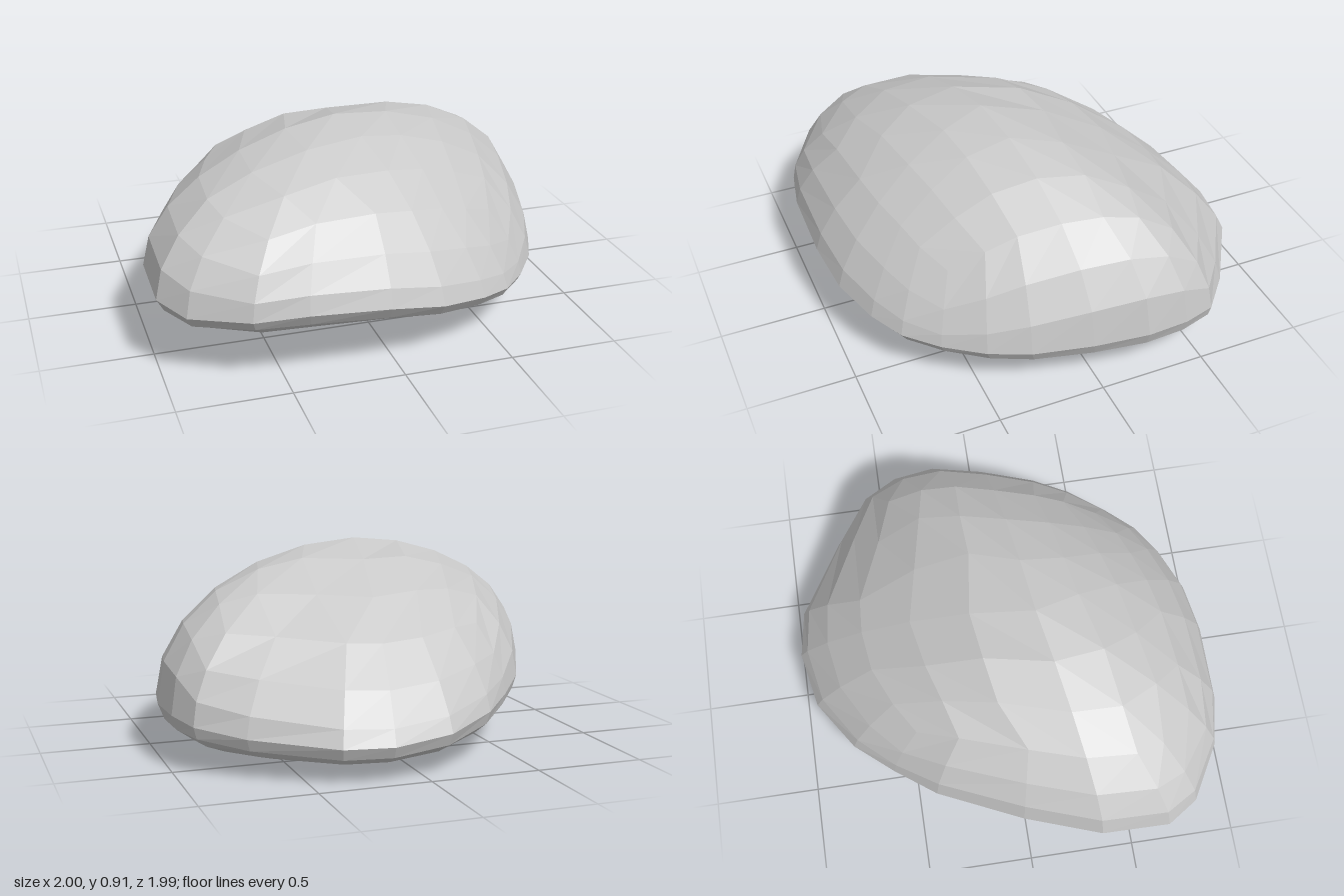
import * as THREE from 'three';

// Widest contour of the boulder: [x, y, z], 24 points from the back round by +x
const RIM = [
  [0.16, 0.16, -0.995], [0.38, 0.16, -0.96], [0.73, 0.18, -0.74], [0.92, 0.21, -0.58],
  [0.98, 0.23, -0.42], [1, 0.24, -0.22], [0.96, 0.23, 0.03], [0.89, 0.22, 0.3],
  [0.81, 0.22, 0.48], [0.69, 0.22, 0.65], [0.56, 0.23, 0.79], [0.41, 0.25, 0.88],
  [0.19, 0.28, 0.96], [-0.06, 0.32, 0.99], [-0.42, 0.34, 0.985], [-0.65, 0.32, 0.94],
  [-0.9, 0.31, 0.8], [-1, 0.34, 0.65], [-1, 0.36, 0.33], [-0.87, 0.33, -0.02],
  [-0.68, 0.29, -0.41], [-0.53, 0.25, -0.6], [-0.37, 0.22, -0.78], [-0.12, 0.18, -0.94],
].map((p) => new THREE.Vector3(...p));

const APEX = new THREE.Vector3(-0.06, 0.91, 0.15);
const BASE = new THREE.Vector3(0.12, 0, -0.3);

// Point of the contour for a direction; every 15 degrees meets one contour point
function rimAt(angle) {
  const n = RIM.length;
  const k = ((angle / (Math.PI * 2) + 0.25) * n + n) % n;
  const i = Math.floor(k);
  return RIM[i % n].clone().lerp(RIM[(i + 1) % n], k - i);
}

// Moves a point of the unit sphere onto the boulder
function shape(d) {
  const t = Math.min(1, Math.hypot(d.x, d.z));
  const rim = rimAt(Math.atan2(d.z, d.x));
  const nx = t > 1e-6 ? d.x / t : 0;
  const nz = t > 1e-6 ? d.z / t : 0;
  const upper = d.y > 0;
  const pole = upper ? APEX : BASE;
  // underside: blunter to the back right corner
  let power = 1.75;
  let soft = 0.485 + 0.08 * nz - 0.05 * nx;
  if (upper) {
    // top: straight slopes to the back and front left, a full ridge between them
    const back = Math.max(0, -nz) ** 3;
    const front = Math.max(0, nz) ** 3;
    const right = Math.max(0, -nx) ** 3;
    const slope = Math.max(0, (nx + nz) * Math.SQRT1_2) ** 4;
    const ridge = Math.max(0, 0.87 * nx - 0.5 * nz) ** 4;
    power = 2 - 0.4 * back - 0.25 * front - 0.3 * right;
    soft = 0.52 + 0.3 * back + 0.16 * front - 0.02 * right + 0.15 * slope - 0.09 * ridge;
  }
  const rise = Math.max(0, 1 - t ** power) ** soft;
  return new THREE.Vector3(
    pole.x + (rim.x - pole.x) * t,
    rim.y + (pole.y - rim.y) * rise,
    pole.z + (rim.z - pole.z) * t,
  );
}

export function createModel() {
  const group = new THREE.Group();
  group.name = 'boulder';

  // Cube-sphere with even facets, moved onto the boulder
  const box = new THREE.BoxGeometry(2, 2, 2, 6, 6, 6);
  const pos = box.attributes.position;
  const v = new THREE.Vector3();
  for (let i = 0; i < pos.count; i++) {
    v.fromBufferAttribute(pos, i);
    v.set(...v.toArray().map((c) => Math.tan((c * Math.PI) / 4))).normalize();
    const p = shape(v);
    pos.setXYZ(i, p.x, p.y, p.z);
  }

  const geometry = box.toNonIndexed();
  geometry.deleteAttribute('uv');
  geometry.clearGroups();
  geometry.computeVertexNormals();

  const stoneGrey = new THREE.MeshStandardMaterial({ color: 0xc8c8c8 });
  stoneGrey.name = 'stone grey';
  stoneGrey.flatShading = true;
  const stone = new THREE.Mesh(geometry, stoneGrey);
  stone.name = 'stone';
  group.add(stone);
  return group;
}
